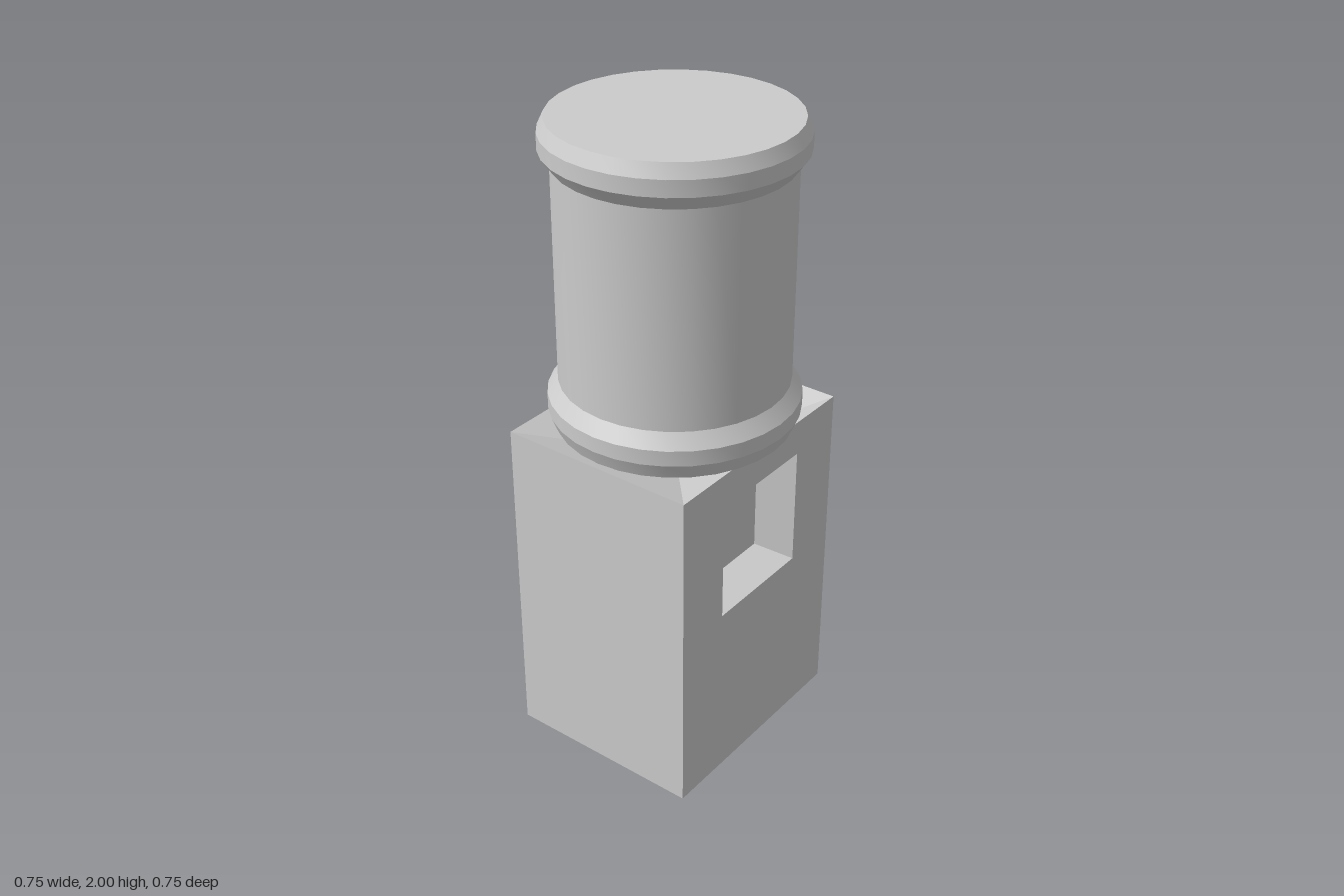
import * as THREE from 'three';
import { toCreasedNormals } from 'three/addons/utils/BufferGeometryUtils.js';

const material = new THREE.MeshStandardMaterial({ color: 0xcccccc });
const W = 0.316, D = 0.373, H = 1.07;

// Rectangular ring in a side plane, counter-clockwise as seen from +x
const sideRing = (x, halfZ, y0, y1) => [
  [x, y0, halfZ], [x, y0, -halfZ], [x, y1, -halfZ], [x, y1, halfZ],
];

// Flat-shaded geometry from polygons with counter-clockwise corners
function fromPolygons(polygons) {
  const positions = [];
  for (const p of polygons) {
    for (let i = 1; i < p.length - 1; i++) positions.push(...p[0], ...p[i], ...p[i + 1]);
  }
  const geometry = new THREE.BufferGeometry();
  geometry.setAttribute('position', new THREE.Float32BufferAttribute(positions, 3));
  geometry.computeVertexNormals();
  return geometry;
}

// Quads joining an outer ring to an inner ring
const bridge = (outer, inner) => outer.map((a, i) => {
  const j = (i + 1) % outer.length;
  return [a, outer[j], inner[j], inner[i]];
});

function pedestalGeometry() {
  const level = (y) => [[-W, y, D], [W, y, D], [W, y, -D], [-W, y, -D]];
  const base = level(0), top = level(H);
  const walls = bridge(base, top).filter((_, i) => i !== 1);

  // Shallow funnel sunk into the top
  const apex = [0, H - 0.14, 0];
  const funnel = top.map((a, i) => [a, top[(i + 1) % 4], apex]);

  // Right wall with a tapered window recess
  const edge = sideRing(W, D, 0, H);
  const opening = sideRing(W, 0.184, 0.58, 0.96);
  const recess = sideRing(0.193, 0.153, 0.6, 0.83);

  return fromPolygons([
    ...walls, [...base].reverse(), ...funnel,
    ...bridge(edge, opening), ...bridge(opening, recess), recess,
  ]);
}

function drumGeometry() {
  const profile = [
    [0, 1.072], [0.354, 1.072], [0.373, 1.12], [0.373, 1.168], [0.341, 1.212],
    [0.341, 1.868], [0.373, 1.912], [0.373, 1.96], [0.354, 2], [0, 2],
  ].map(([r, y]) => new THREE.Vector2(r, y));
  return toCreasedNormals(new THREE.LatheGeometry(profile, 32), 0.35);
}

export function createModel() {
  const model = new THREE.Group();
  const add = (name, geometry) => {
    const mesh = new THREE.Mesh(geometry, material);
    mesh.name = name;
    model.add(mesh);
  };
  add('pedestal', pedestalGeometry());
  add('drum', drumGeometry());
  return model;
}
